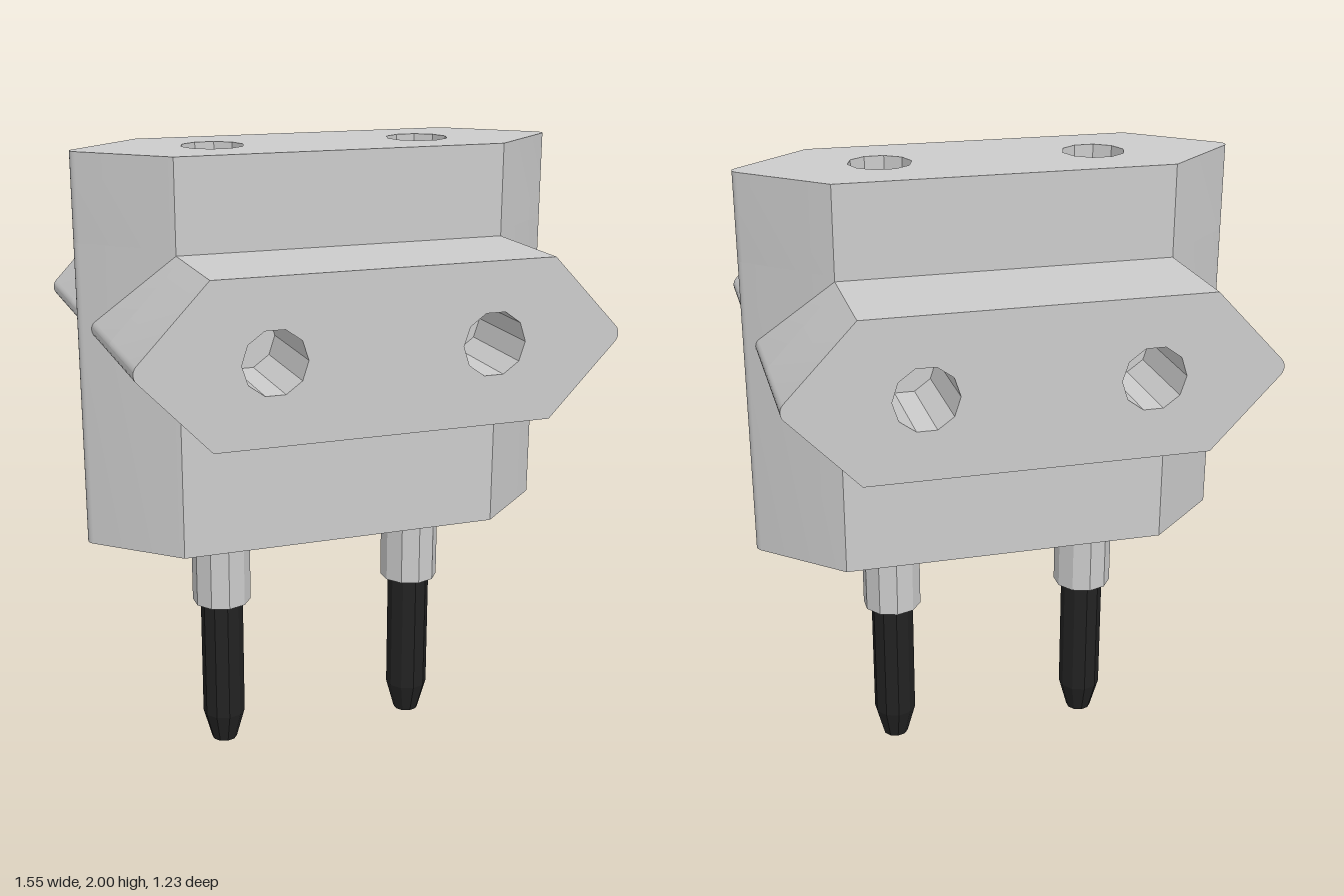
import * as THREE from 'three';
import { toCreasedNormals } from 'three/addons/utils/BufferGeometryUtils.js';

const HOLE_X = [-0.337, 0.333];
const grey = new THREE.MeshStandardMaterial({ color: 0xcccccc });
const greyFlat = new THREE.MeshStandardMaterial({ color: 0xcccccc, flatShading: true });
const black = new THREE.MeshStandardMaterial({ color: 0x222222, flatShading: true });

// Flat hexagon with slightly rounded pointed ends, optionally with two sockets
function hexOutline(tip, withHoles) {
  const shoulder = 0.52, half = 0.245, r = 0.035;
  const slope = Math.atan2(half, tip - shoulder); // angle of the slanted edge to the x axis
  const turn = Math.PI / 2 - slope;               // direction of its outward normal
  const cx = tip - r / Math.sin(slope);
  const arc = [];
  for (let i = 0; i <= 6; i++) {
    const a = -turn + (2 * turn * i) / 6;
    arc.push([cx + r * Math.cos(a), r * Math.sin(a)]);
  }
  const side = [[shoulder, -half], ...arc, [shoulder, half]];
  const points = [...side, ...side.map(([x, y]) => [-x, -y])];
  const shape = new THREE.Shape(points.map(([x, y]) => new THREE.Vector2(x, y)));
  if (withHoles) {
    for (const hx of HOLE_X) {
      const ring = [];
      for (let i = 0; i < 10; i++) {
        const a = (-i / 10) * Math.PI * 2;
        ring.push(new THREE.Vector2(hx + 0.098 * Math.cos(a), 0.098 * Math.sin(a)));
      }
      shape.holes.push(new THREE.Path(ring));
    }
  }
  return shape;
}

// One slice of a body, running from z0 to z1
function slice(name, tip, z0, z1, withHoles) {
  let geo = new THREE.ExtrudeGeometry(hexOutline(tip, withHoles), { depth: z1 - z0, bevelEnabled: false });
  geo = toCreasedNormals(geo.translate(0, 0, z0), 0.45);
  const mesh = new THREE.Mesh(geo, grey);
  mesh.name = name;
  return mesh;
}

export function createModel() {
  const model = new THREE.Group();
  model.name = 'plugAdapter';

  // Upright body with sockets in its top
  const upright = new THREE.Group();
  upright.name = 'uprightBody';
  upright.rotation.x = -Math.PI / 2;
  upright.add(slice('uprightCore', 0.79, 0.77, 1.73, false));
  upright.add(slice('topSocketBlock', 0.79, 1.73, 2, true));
  model.add(upright);

  // Crossing body with sockets at front and back
  const cross = new THREE.Group();
  cross.name = 'crossBody';
  cross.position.y = 1.47;
  cross.add(slice('crossCore', 0.753, -0.3, 0.3, false));
  cross.add(slice('frontSocketBlock', 0.753, 0.3, 0.615, true));
  cross.add(slice('backSocketBlock', 0.753, -0.615, -0.3, true));
  model.add(cross);

  // Two contact pins, each with a wider sleeve
  const pinProfile = [[0, 0], [0.042, 0], [0.07, 0.1], [0.07, 0.53]].map(([x, y]) => new THREE.Vector2(x, y));
  for (const x of HOLE_X) {
    const pin = new THREE.Group();
    pin.name = x < 0 ? 'rightPin' : 'leftPin';
    pin.position.x = x;
    const sleeve = new THREE.Mesh(new THREE.CylinderGeometry(0.096, 0.096, 0.275, 10), greyFlat);
    sleeve.name = 'pinSleeve';
    sleeve.position.y = 0.6475;
    const tip = new THREE.Mesh(new THREE.LatheGeometry(pinProfile, 10), black);
    tip.name = 'pinTip';
    pin.add(sleeve, tip);
    model.add(pin);
  }
  return model;
}
